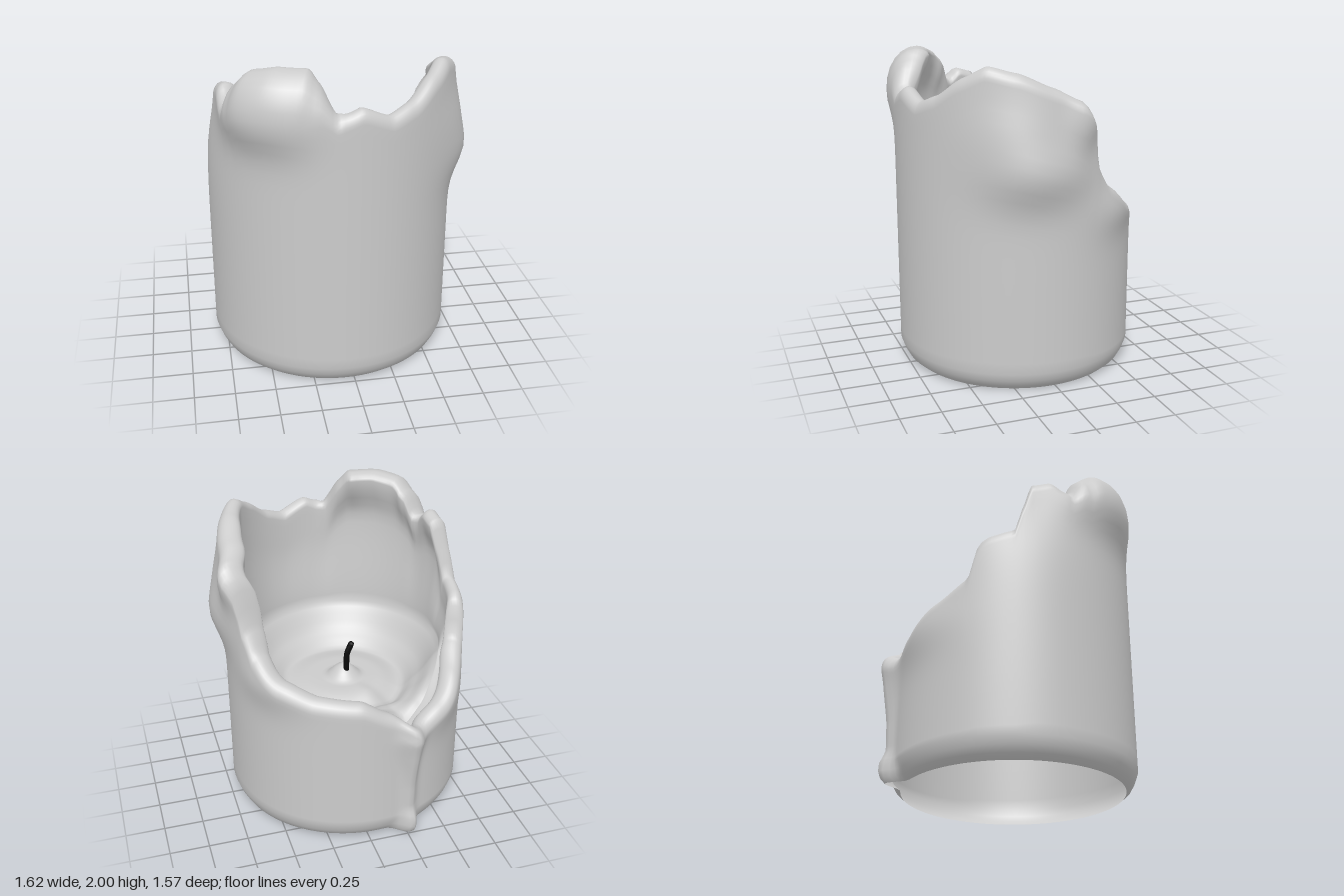
import * as THREE from 'three';

const SEG = 200;
const CX = -0.05, CZ = 0.02;          // axis of the candle
const RX = 0.77, RZ = 0.755;          // outer radii
const POOL_R = 0.62, POOL_Y = 1.04;   // foot of the inner wall

const wax = new THREE.MeshStandardMaterial({ color: 0xcccccc, side: THREE.DoubleSide });
const black = new THREE.MeshStandardMaterial({ color: 0x0a0a0a });

const { lerp, smoothstep } = THREE.MathUtils;

// Softened interpolation through sorted [position, value] pairs
function sample(keys, t) {
  for (let i = 1; i < keys.length; i++) {
    const [a, u] = keys[i - 1], [b, v] = keys[i];
    if (t <= b) return lerp(u, v, lerp((t - a) / (b - a), smoothstep(t, a, b), 0.3));
  }
  return keys[keys.length - 1][1];
}

// Angle in degrees: 0 front (+z), 90 at +x, 180 back, 270 at -x
const RIM = [
  [0, 1.77], [6, 1.8], [20, 1.73], [32, 1.78], [46, 1.89], [58, 1.96], [72, 1.92], [90, 1.83],
  [101, 1.76], [107, 1.66], [112, 1.38], [119, 1.24], [133, 1.11], [150, 1.03], [172, 1.0],
  [186, 0.9], [201, 0.77], [215, 0.86], [230, 1.0], [246, 1.13], [251, 1.35], [256, 1.39], [268, 1.43],
  [272, 1.6], [277, 1.79], [287, 1.82], [293, 1.76], [297, 1.76], [303, 1.89], [312, 1.97],
  [325, 2.0], [341, 1.995], [347, 1.92], [355, 1.76], [360, 1.77],
];
const THICK = [
  [0, 0.11], [60, 0.11], [78, 0.15], [103, 0.17], [130, 0.14], [200, 0.13], [240, 0.14], [256, 0.1],
  [271, 0.09], [278, 0.12], [293, 0.13], [306, 0.24], [322, 0.28], [338, 0.28], [347, 0.2], [354, 0.12], [360, 0.11],
];
// Length of the rounded shoulder outside the rim: long on the front lobe
const SHOULDER = [[0, 0.08], [294, 0.08], [306, 0.24], [342, 0.27], [354, 0.1], [360, 0.08]];
// Swellings and hollows of the wall: angle, height, angular spread, vertical spread, amount
const BULGES = [
  [80, 1.33, 22, 0.17, 0.075], [72, 1.56, 22, 0.2, 0.045], [103, 1.66, 8, 0.16, 0.07],
  [128, 1.08, 18, 0.15, 0.04], [217, 0.86, 19, 0.18, 0.05], [278, 1.75, 22, 0.36, -0.055],
  [316, 1.72, 20, 0.17, 0.09], [335, 1.7, 12, 0.17, 0.025],
];
// Run of wax down the back: height, projection
const DRIP = [[0, 0.11], [0.06, 0.1], [0.2, 0.04], [0.36, 0.045], [0.6, 0.075], [0.72, 0.09], [0.8, 0.05], [0.95, 0]];
const BEVEL = [[0, -0.075], [0.03, -0.04], [0.07, -0.018], [0.12, 0]];

const gauss = (d, w) => Math.exp(-(d * d) / (w * w));
const angleGap = (a, b) => ((a - b + 540) % 360) - 180;

// Offset of the outer wall from the plain cylinder
function wallOffset(deg, y) {
  let o = sample(BEVEL, y);
  for (const [a, h, wa, wh, amt] of BULGES) o += amt * gauss(angleGap(deg, a), wa) * gauss(y - h, wh);
  const width = 3.2 + 2.5 * gauss(y - 0.75, 0.2) + 2 * gauss(y, 0.08);
  return o + sample(DRIP, y) * gauss(angleGap(deg, 196), width);
}

const place = (deg, offset, y) => {
  const a = THREE.MathUtils.degToRad(deg);
  return [CX + Math.sin(a) * (RX + offset), y, CZ + Math.cos(a) * (RZ + offset)];
};

// Cross-section of the wall: up the outside, over the rim, down the inside
function wallSection(deg, h, edge) {
  const pts = BEVEL.map(([y]) => place(deg, wallOffset(deg, y), y));
  const t = sample(THICK, deg), shoulder = sample(SHOULDER, deg), lip = 0.05;
  const y0 = h - shoulder, outer = wallOffset(deg, y0);
  for (let j = 1; j <= 24; j++) {
    const y = lerp(0.12, y0, j / 24);
    pts.push(place(deg, wallOffset(deg, y), y));
  }
  const crest = shoulder > 0.09 ? 0.7 : 0.5;
  for (let j = 1; j <= 6; j++) {
    const a = j / 6 * Math.PI / 2;
    pts.push(place(deg, outer - t * crest * (1 - Math.cos(a)), y0 + shoulder * Math.sin(a)));
  }
  for (let j = 1; j <= 5; j++) {
    const a = j / 5 * Math.PI / 2;
    pts.push(place(deg, outer - t * (crest + (1 - crest) * Math.sin(a)), h - lip * (1 - Math.cos(a))));
  }
  // Tall walls are hollowed out beneath the curled rim
  const top = outer - t, foot = POOL_R - RX;
  const mid = lerp(top, -0.11, Math.min(1, (h - edge) / 0.4));
  for (let j = 1; j <= 14; j++) {
    const k = j / 14;
    const o = lerp(lerp(top, mid, smoothstep(k, 0, 0.3)), foot, smoothstep(k, 0.3, 1));
    pts.push(place(deg, o, lerp(h - lip, edge, k)));
  }
  return pts;
}

// Cross-section of the pool: from the foot of the wall to the mound around the wick
const POOL = [[0, 0.89], [0.08, 0.86], [0.2, 0.79], [0.4, 0.79], [0.62, 0.77], [0.8, 0.86], [1, POOL_Y]];
function poolSection(deg, edge) {
  const pts = [];
  const [px, , pz] = place(deg, POOL_R - RX, 0);
  for (let j = 1; j <= 24; j++) {
    const s = 1 - j / 24;
    const ridge = 0.05 * gauss(angleGap(deg, 198), 14) * gauss(s - 0.62, 0.22);
    const moat = 0.05 * gauss(angleGap(deg, 200), 75) * gauss(s - 0.6, 0.16);
    const y = sample(POOL, s) + (edge - POOL_Y) * s ** 5 + ridge - moat;
    pts.push([lerp(CX, px, s), y, lerp(CZ, pz, s)]);
  }
  return pts;
}

function candleSection(deg) {
  const h = sample(RIM, deg), edge = Math.min(POOL_Y, h - 0.065);
  return [...wallSection(deg, h, edge), ...poolSection(deg, edge)];
}

// Joins the cross-sections taken around the axis into one closed ring, open underneath
function sweep(name, section) {
  const pos = [], index = [];
  let rows = 0;
  for (let i = 0; i < SEG; i++) {
    const pts = section(i * 360 / SEG);
    rows = pts.length;
    pts.forEach((p) => pos.push(...p));
  }
  for (let i = 0; i < SEG; i++) {
    for (let j = 0; j < rows - 1; j++) {
      const a = i * rows + j, b = ((i + 1) % SEG) * rows + j;
      index.push(a, b, b + 1, a, b + 1, a + 1);
    }
  }
  const g = new THREE.BufferGeometry();
  g.setAttribute('position', new THREE.Float32BufferAttribute(pos, 3));
  g.setIndex(index);
  g.computeVertexNormals();
  const mesh = new THREE.Mesh(g, wax);
  mesh.name = name;
  return mesh;
}

export function createModel() {
  const group = new THREE.Group();
  group.name = 'meltedCandle';
  group.add(sweep('waxBody', candleSection));

  // Bent wick with a capped tip
  const path = new THREE.CatmullRomCurve3([
    [-0.055, 0.84, -0.02], [-0.056, 0.94, -0.022], [-0.06, 0.98, -0.024], [-0.085, 1.04, -0.025],
  ].map((p) => new THREE.Vector3(...p)));
  const wick = new THREE.Group();
  wick.name = 'wick';
  const stem = new THREE.Mesh(new THREE.TubeGeometry(path, 10, 0.02, 8), black);
  stem.name = 'wickStem';
  const tip = new THREE.Mesh(new THREE.SphereGeometry(0.02, 8, 6), black);
  tip.name = 'wickTip';
  tip.position.copy(path.getPoint(1));
  wick.add(stem, tip);
  group.add(wick);
  return group;
}
